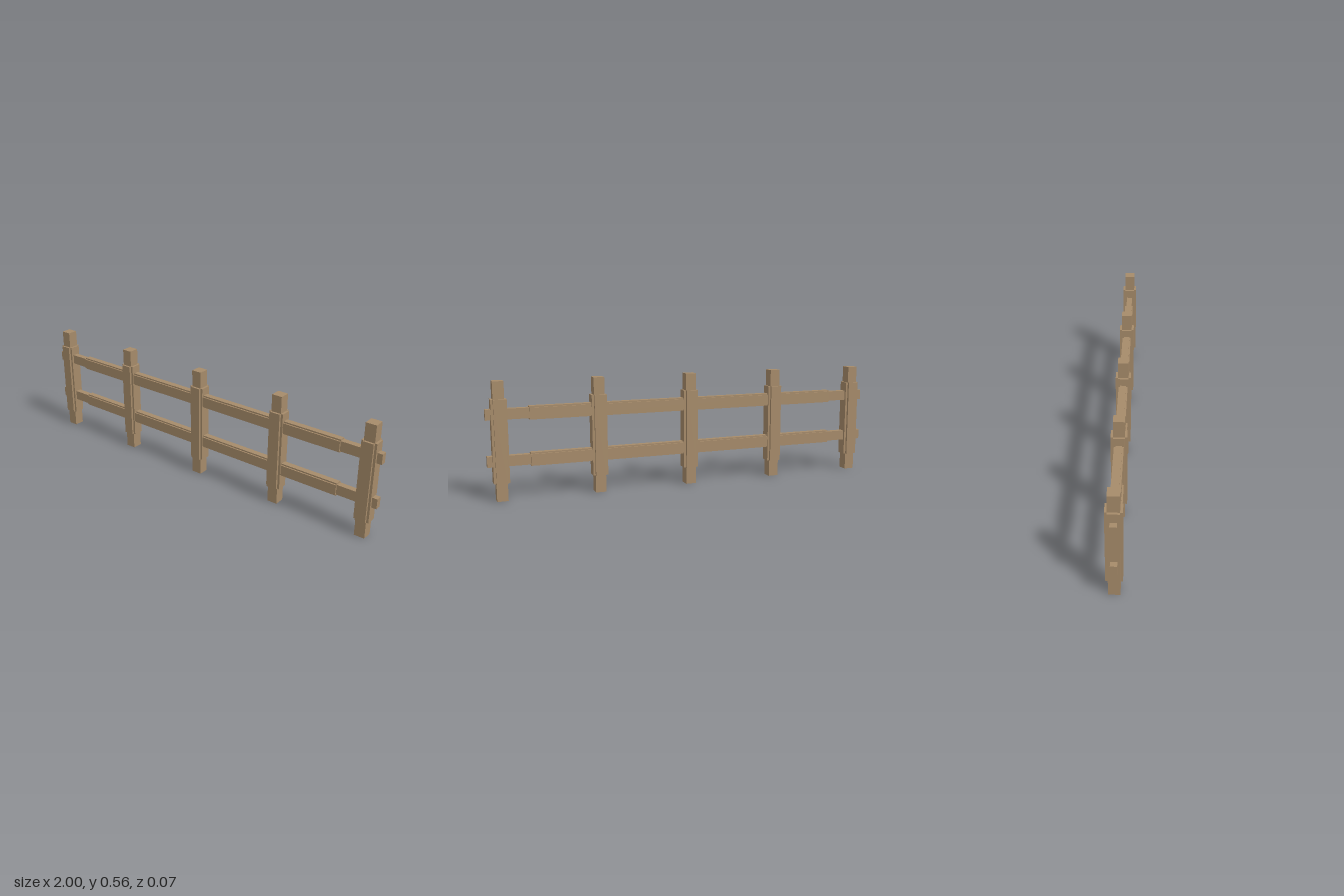
import * as THREE from 'three';

const wood = new THREE.MeshStandardMaterial({ color: 0xa68b6a });
wood.name = 'weathered wood';

function box(name, w, h, d, x, y) {
  const mesh = new THREE.Mesh(new THREE.BoxGeometry(w, h, d), wood);
  mesh.name = name;
  mesh.position.set(x, y, 0);
  return mesh;
}

// Plus-shaped bar: a w x h core with each side pushed out by the step, extruded along z
function plusBar(w, h, step, length) {
  const a = w / 2, b = h / 2, A = a + step, B = b + step;
  const outline = [
    [A, -b], [A, b], [a, b], [a, B], [-a, B], [-a, b],
    [-A, b], [-A, -b], [-a, -b], [-a, -B], [a, -B], [a, -b],
  ].map(([x, y]) => new THREE.Vector2(x, y));
  return new THREE.ExtrudeGeometry(new THREE.Shape(outline), { depth: length, bevelEnabled: false })
    .translate(0, 0, -length / 2);
}

export function createModel() {
  const fence = new THREE.Group();
  fence.name = 'fence';

  // Square posts with a thicker stepped sleeve around the middle
  const sleeveGeo = plusBar(0.052, 0.052, 0.011, 0.393).rotateX(Math.PI / 2);
  for (let i = -2; i <= 2; i++) {
    const post = new THREE.Group();
    post.name = 'post';
    post.position.x = i * 0.469;
    const sleeve = new THREE.Mesh(sleeveGeo, wood);
    sleeve.name = 'postSleeve';
    sleeve.position.y = 0.2815;
    post.add(box('postCore', 0.052, 0.562, 0.052, 0, 0.281), sleeve);
    fence.add(post);
  }

  // Two rails, thin at the ends and stepped out between them
  const railGeo = plusBar(0.03, 0.05, 0.007, 1.6).rotateY(Math.PI / 2);
  for (const y of [0.188, 0.408]) {
    const rail = new THREE.Group();
    rail.name = 'rail';
    const thick = new THREE.Mesh(railGeo, wood);
    thick.name = 'railMiddle';
    thick.position.y = y;
    rail.add(box('railCore', 2, 0.05, 0.03, 0, y), thick);
    fence.add(rail);
  }
  return fence;
}
